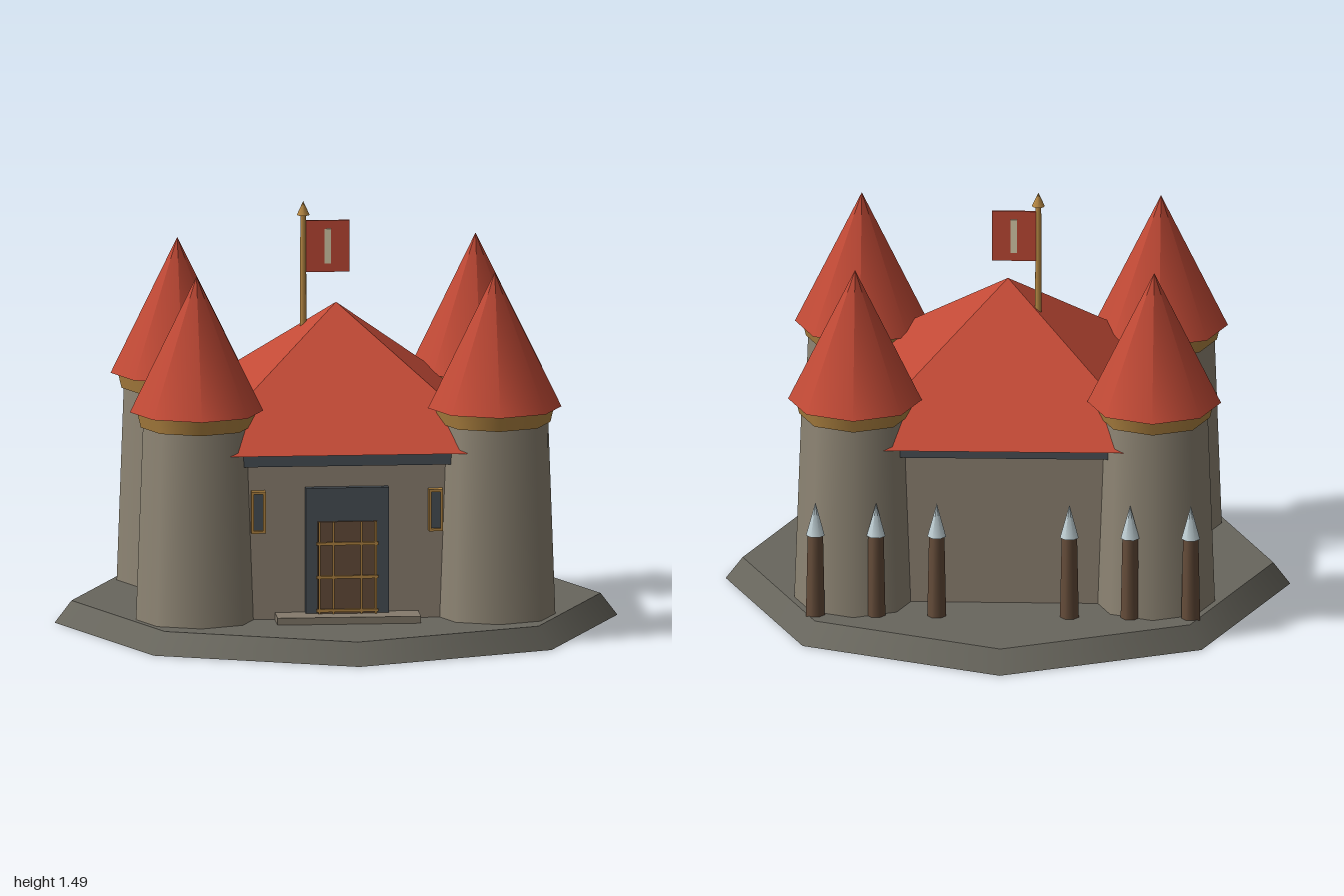
import * as THREE from 'three';

const material = (color, flatShading = false) => new THREE.MeshStandardMaterial({ color, flatShading });
const stone = material(0x8f8675);
const wallStone = material(0x8f8373);
const ground = material(0x68665d);
const stepStone = material(0x857b6c);
const roofRed = material(0xc24a36);
const flatRed = material(0xc24a36, true);
const slate = material(0x4a5157);
const gold = material(0xb58743);
const wood = material(0x674e3b);
const iron = material(0xc3d3d8);
const cream = material(0xddd0ad);

export function createModel() {
  const model = new THREE.Group();

  const add = (name, geometry, mat, x, y, z, parent = model) => {
    const mesh = new THREE.Mesh(geometry, mat);
    mesh.name = name;
    mesh.position.set(x, y, z);
    parent.add(mesh);
    return mesh;
  };
  // Box given by its width, bottom, top and depth
  const box = (name, mat, x, w, y0, y1, z, d, parent) =>
    add(name, new THREE.BoxGeometry(w, y1 - y0, d), mat, x, (y0 + y1) / 2, z, parent);
  // Round part given by its bottom and top radius and height
  const round = (name, mat, x, z, y0, y1, r0, r1, sides, parent) =>
    add(name, new THREE.CylinderGeometry(r1, r0, y1 - y0, sides), mat, x, (y0 + y1) / 2, z, parent);

  // Octagonal ground slab
  round('base', ground, 0, 0, 0.001, 0.08, 1, 0.94, 8);

  // Central hall with eave band and pyramid roof
  box('hall', wallStone, 0, 1.0, 0.06, 0.65, 0, 0.9);
  box('eaveBand', slate, 0, 1.08, 0.635, 0.685, 0, 0.98);
  const roof = round('hallRoof', flatRed, 0, 0, 0.685, 1.14, 0.56 * Math.SQRT2, 0, 4);
  roof.rotation.y = Math.PI / 4;

  // Corner towers
  for (const sx of [-1, 1]) {
    for (const sz of [-1, 1]) {
      const tower = new THREE.Group();
      tower.name = 'tower';
      tower.position.set(sx * 0.53, 0, sz * 0.41);
      model.add(tower);
      round('towerWall', stone, 0, 0, 0.06, 0.78, 0.216, 0.19, 8, tower);
      round('towerBand', gold, 0, 0, 0.77, 0.83, 0.198, 0.212, 8, tower);
      round('towerRoof', roofRed, 0, 0, 0.825, 1.31, 0.237, 0, 8, tower);
    }
  }

  // Gate: step, frame, door and lattice bars
  box('doorStep', stepStone, 0, 0.51, 0, 0.105, 0.51, 0.12);
  box('doorFrame', slate, 0, 0.295, 0.08, 0.555, 0.455, 0.05);
  box('door', wood, 0, 0.21, 0.1, 0.435, 0.475, 0.03);
  for (const x of [-0.1, -0.05, 0.05, 0.1]) {
    box('doorUpright', gold, x, 0.007, 0.105, 0.435, 0.493, 0.008);
  }
  for (const y of [0.117, 0.237, 0.357]) {
    box('doorCrossbar', gold, 0, 0.22, y - 0.005, y + 0.005, 0.496, 0.01);
  }

  // Windows beside the gate
  for (const s of [-1, 1]) {
    box('windowPane', slate, s * 0.315, 0.034, 0.405, 0.535, 0.455, 0.04);
    for (const dx of [-0.0205, 0.0205]) {
      box('windowJamb', gold, s * 0.315 + dx, 0.009, 0.395, 0.545, 0.46, 0.05);
    }
    for (const y of [0.395, 0.536]) {
      box('windowRail', gold, s * 0.315, 0.05, y, y + 0.009, 0.46, 0.05);
    }
  }

  // Flag on the roof
  round('flagPole', gold, -0.11, -0.08, 0.98, 1.45, 0.012, 0.01, 8);
  round('flagTip', gold, -0.11, -0.08, 1.44, 1.49, 0.023, 0, 8);
  box('flag', roofRed, -0.023, 0.156, 1.235, 1.42, -0.08, 0.01);
  box('flagStripe', cream, -0.023, 0.024, 1.265, 1.39, -0.08, 0.016);

  // Pointed stakes along the back
  for (const s of [-1, 1]) {
    for (const x of [0.235, 0.45, 0.665]) {
      round('stake', wood, s * x, -0.59, 0.0, 0.38, 0.036, 0.028, 7);
      round('stakeTip', iron, s * x, -0.59, 0.378, 0.5, 0.034, 0, 7);
    }
  }

  return model;
}
